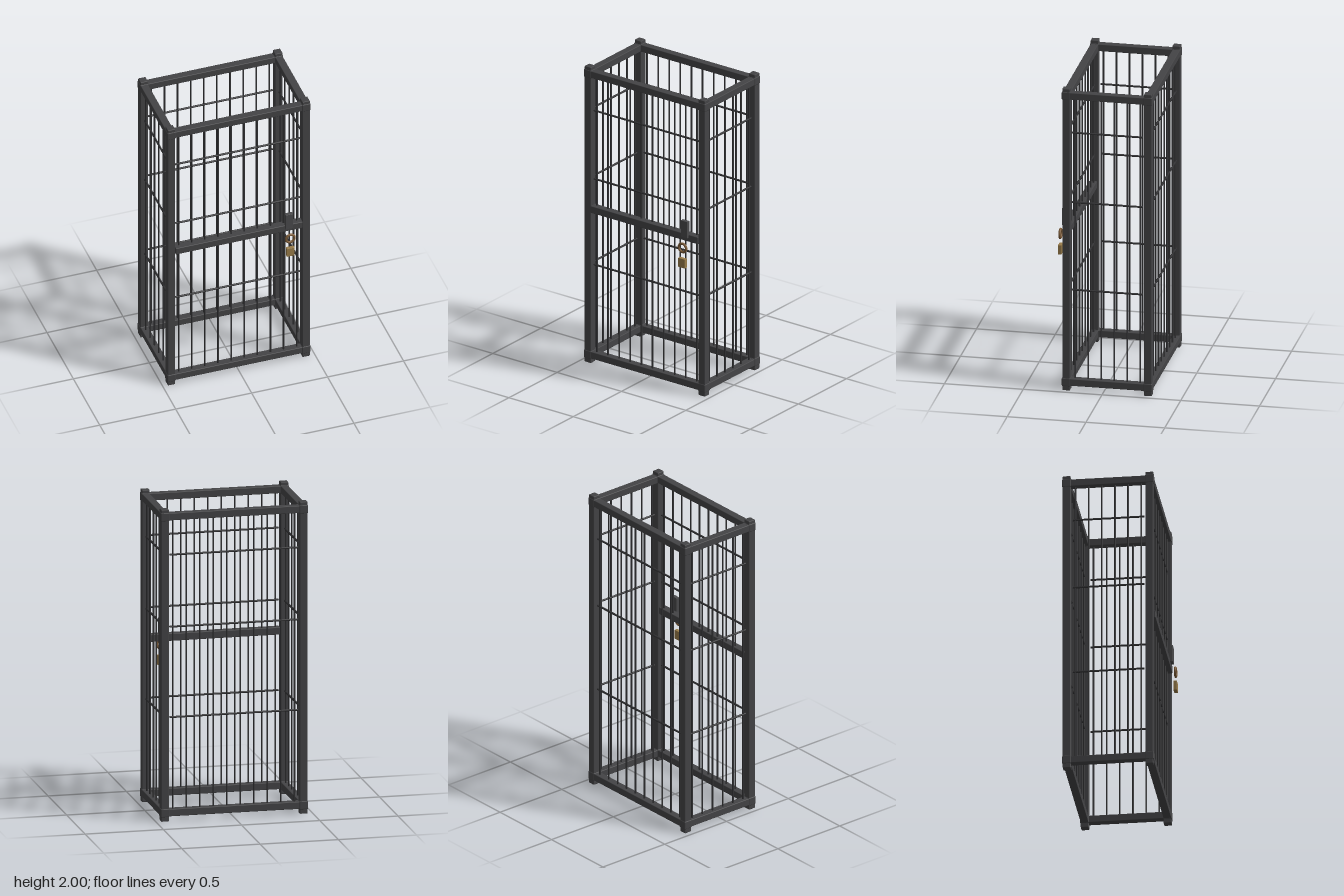
import * as THREE from 'three';
import { RoundedBoxGeometry } from 'three/addons/geometries/RoundedBoxGeometry.js';

const PX = 0.443, FRONT = 0.235, BACK = -0.284;
const MID = (FRONT + BACK) / 2, DEPTH = FRONT - BACK;

export function createModel() {
  const cage = new THREE.Group();
  cage.name = 'cage';
  const mat = (color) => new THREE.MeshStandardMaterial({ color });
  const iron = mat(0x444446), barIron = mat(0x333335), steel = mat(0x4a4a4c);
  const brass = mat(0x9a7d4a), bronze = mat(0x7d5c38);

  const add = (name, geometry, material, x, y, z) => {
    const mesh = new THREE.Mesh(geometry, material);
    mesh.name = name;
    mesh.position.set(x, y, z);
    cage.add(mesh);
    return mesh;
  };
  const beam = (name, w, h, d, x, y, z, material = iron, bevel = 0.004) =>
    add(name, new RoundedBoxGeometry(w, h, d, 1, bevel), material, x, y, z);
  const rod = (name, radius, length, x, y, z, axis) => {
    const mesh = add(name, new THREE.CylinderGeometry(radius, radius, length, 8), barIron, x, y, z);
    if (axis === 'x') mesh.rotation.z = Math.PI / 2;
    if (axis === 'z') mesh.rotation.x = Math.PI / 2;
  };

  // Corner posts with a joint block at each end
  for (const x of [-PX, PX]) {
    for (const z of [FRONT, BACK]) {
      beam('cornerPost', 0.049, 2, 0.049, x, 1, z);
      for (const y of [0.055, 1.953]) beam('cornerJoint', 0.056, 0.054, 0.056, x, y, z, iron, 0.006);
    }
  }

  // Top and bottom rails
  for (const y of [0.055, 1.953]) {
    for (const z of [FRONT, BACK]) beam('longRail', PX * 2, 0.046, 0.049, 0, y, z);
    for (const x of [-PX, PX]) beam('sideRail', 0.049, 0.046, DEPTH, x, y, MID);
  }

  // Upright bars
  for (const z of [FRONT, BACK]) {
    for (let i = 0; i < 10; i++) rod('uprightBar', 0.0055, 1.88, (i - 4.5) * 0.0863, 1.004, z, 'y');
  }
  for (const x of [-PX, PX]) {
    for (let i = 0; i < 6; i++) rod('uprightBar', 0.0055, 1.88, x, 1.004, MID + (i - 2.5) * 0.0825, 'y');
  }

  // Horizontal cross bars on all four sides
  for (const y of [0.663, 1.243, 1.705]) {
    for (const z of [FRONT, BACK]) rod('crossBar', 0.0065, 0.82, 0, y, z, 'x');
    for (const x of [-PX, PX]) rod('crossBar', 0.0065, 0.45, x, y, MID, 'z');
  }

  // Door band, latch and hanging padlock
  beam('doorBand', 0.836, 0.047, 0.05, 0, 1.045, 0.243);
  beam('latchPlate', 0.05, 0.112, 0.024, 0.324, 1.105, 0.273, steel, 0.002);
  add('padlockRing', new THREE.TorusGeometry(0.028, 0.008, 10, 28), bronze, 0.324, 0.985, 0.299);
  beam('padlockBody', 0.052, 0.062, 0.023, 0.324, 0.885, 0.299, brass, 0.002);

  return cage;
}
